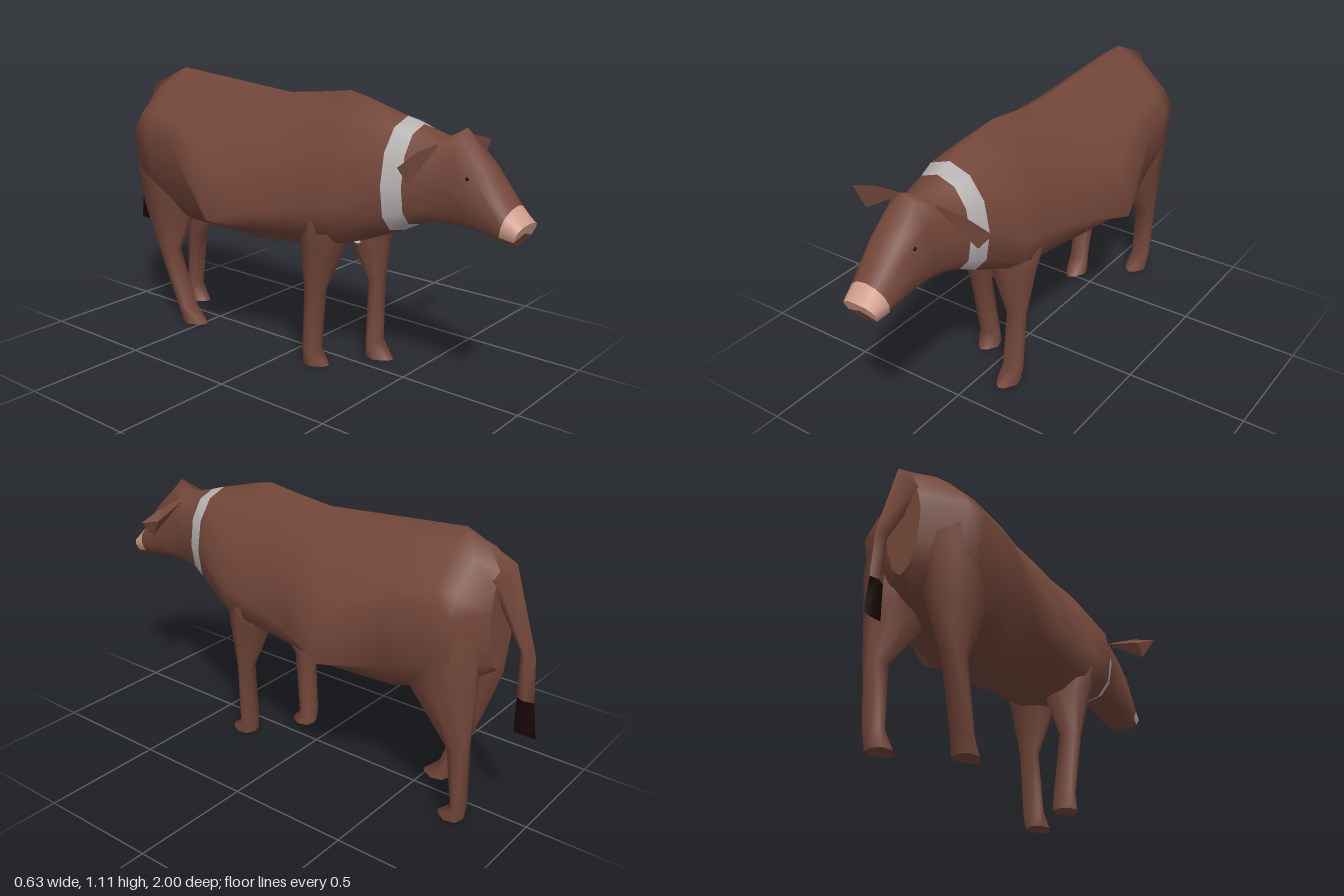
import * as THREE from 'three';

const mat = (name, color) => {
  const m = new THREE.MeshStandardMaterial({ color });
  m.name = name;
  return m;
};

// Closed skin over rings of [x, y, z] points; pick(segment, side) gives a material index.
// Segment -1 is the first cap and rings.length the last.
function loft(rings, pick = () => 0) {
  const pos = [], n = rings[0].length, faces = [];
  const add = (p) => pos.push(...p) / 3 - 1;
  rings.forEach((r) => r.forEach(add));
  for (let i = 0; i < rings.length - 1; i++) {
    for (let j = 0; j < n; j++) {
      const k = (j + 1) % n, a = i * n + j, b = i * n + k;
      const m = pick(i, j);
      faces.push([m, a, b, b + n], [m, a, b + n, a + n]);
    }
  }
  const cap = (ring, seg, flip) => {
    const c = add([0, 1, 2].map((d) => ring.reduce((s, p) => s + p[d], 0) / n));
    const ids = ring.map(add);
    ids.forEach((id, j) => {
      const next = ids[(j + 1) % n];
      faces.push(flip ? [pick(seg, j), c, next, id] : [pick(seg, j), c, id, next]);
    });
  };
  cap(rings[0], -1, true);
  cap(rings[rings.length - 1], rings.length, false);

  // Turn all faces outward by the sign of the enclosed volume
  const v = (i) => new THREE.Vector3().fromArray(pos, i * 3);
  const volume = faces.reduce((s, [, a, b, c]) => s + v(a).dot(v(b).cross(v(c))), 0);
  const index = [], geo = new THREE.BufferGeometry();
  faces.sort((f, g) => f[0] - g[0]);
  for (const [m, a, b, c] of faces) {
    geo.addGroup(index.length, 3, m);
    index.push(...(volume > 0 ? [a, b, c] : [a, c, b]));
  }
  geo.setAttribute('position', new THREE.Float32BufferAttribute(pos, 3));
  geo.setIndex(index);
  geo.computeVertexNormals();
  return geo;
}

// Body ring: a superellipse with its own exponent above and below the widest height.
// Head rings lean forward at the top.
function bodyRing([z, top, bottom, width, widest, upper, lower]) {
  return Array.from({ length: 12 }, (_, i) => {
    const a = i * Math.PI / 6, c = Math.cos(a), s = Math.sin(a);
    const p = 2 / (c > 0 ? upper : lower);
    const y = widest + Math.abs(c) ** p * (c > 0 ? top - widest : bottom - widest);
    const lean = z > 0.6 ? 0.035 * (top - y) / (top - bottom) : 0;
    return [width * Math.sign(s) * Math.abs(s) ** p, y, z - lean];
  });
}

// Eight-sided leg ring between front and back z and inner and outer x; the sole narrows to a toe
function legRing(side, y, zf, zb, xi, xo) {
  const cx = (xi + xo) / 2, cz = (zf + zb) / 2, rx = (xo - xi) / 2, rz = (zf - zb) / 2;
  return Array.from({ length: 8 }, (_, i) => {
    const a = i * Math.PI / 4, s = i % 2 ? 1.1 : 1;
    const toe = y === 0 ? 1 - 0.6 * Math.max(0, Math.sin(a)) : 1;
    return [side * (cx + rx * s * toe * Math.cos(a)), y, cz + rz * s * Math.sin(a)];
  });
}

// Thin diamond tail ring from back y and z, half width, front y and z
function tailRing([yb, zb, w, yf, zf]) {
  const y = (yb + yf) / 2, z = (zb + zf) / 2;
  return [[0, yb, zb], [w, y, z], [0, yf, zf], [-w, y, z]];
}

export function createModel() {
  const model = new THREE.Group();
  const brown = mat('brownHide', 0x74473a);
  const white = mat('whiteBand', 0xbab5b5);
  const pink = mat('pinkNose', 0xd3a090);
  const dark = mat('darkHair', 0x1a0808);
  const put = (name, geo, material) => {
    const mesh = new THREE.Mesh(geo, material);
    mesh.name = name;
    model.add(mesh);
    return mesh;
  };

  // Head, neck and trunk in one skin: z, top, bottom, half width, widest height, exponents
  const stations = [
    [1, 0.72, 0.64, 0.072, 0.69, 2.2, 2.5],
    [0.95, 0.775, 0.645, 0.083, 0.71, 2, 2.5],
    [0.84, 0.905, 0.67, 0.095, 0.77, 2.6, 2.8],
    [0.74, 1.02, 0.668, 0.098, 0.82, 1.9, 3],
    [0.67, 0.98, 0.662, 0.11, 0.82, 2.3, 3],
    [0.56, 1.01, 0.637, 0.138, 0.8, 2.2, 2.6],
    [0.49, 1.033, 0.6, 0.168, 0.8, 2.1, 2.6],
    [0.31, 1.083, 0.525, 0.222, 0.7, 1.6, 2.5],
    [0.23, 1.1, 0.5, 0.225, 0.68, 1.5, 2.4],
    [0.08, 1.08, 0.478, 0.227, 0.65, 1.6, 2.2],
    [-0.07, 1.063, 0.453, 0.265, 0.62, 1.7, 1.6],
    [-0.25, 1.077, 0.42, 0.317, 0.57, 1.5, 1],
    [-0.5, 1.097, 0.468, 0.26, 0.82, 1.25, 3],
    [-0.67, 1.11, 0.52, 0.245, 0.86, 1.2, 2.8],
    [-0.75, 1.075, 0.55, 0.235, 0.86, 1.25, 2.4],
    [-0.825, 1.02, 0.6, 0.075, 0.85, 1.5, 2],
  ];
  const bodyColour = (seg, side) => {
    if (seg === 5) return 1;
    return seg <= 0 && (side < 4 || side > 7) ? 2 : 0;
  };
  put('body', loft(stations.map(bodyRing), bodyColour), [brown, white, pink]);

  // Pale spot under the chest
  const spot = put('chestSpot', new THREE.SphereGeometry(0.016, 10, 6), white);
  spot.scale.y = 0.3;
  spot.rotation.x = 0.3;
  spot.position.set(0, 0.51, 0.265);

  // Walking legs with pointed hooves: shared y, inner x and outer x, then front and back z per leg
  const frontShape = [[0.72, 0.06, 0.19], [0.62, 0.02, 0.215], [0.52, 0.005, 0.2], [0.32, 0.085, 0.172], [0.06, 0.065, 0.16], [0, 0.058, 0.156]];
  const hindShape = [[0.86, 0.04, 0.222], [0.7, 0.03, 0.225], [0.53, 0.04, 0.205], [0.32, 0.09, 0.172], [0.065, 0.07, 0.158], [0, 0.058, 0.156]];
  const putLeg = (name, side, shape, reach) => {
    const rings = shape.map(([y, xi, xo], i) => legRing(side, y, ...reach[i], xi, xo));
    put(name, loft(rings), brown);
  };
  putLeg('frontLegLeft', 1, frontShape,
    [[0.32, 0.13], [0.325, 0.15], [0.325, 0.19], [0.3, 0.25], [0.305, 0.255], [0.375, 0.255]]);
  putLeg('frontLegRight', -1, frontShape,
    [[0.3, 0.12], [0.3, 0.11], [0.265, 0.11], [0.2, 0.125], [0.16, 0.105], [0.21, 0.1]]);
  putLeg('hindLegLeft', 1, hindShape,
    [[-0.56, -0.775], [-0.54, -0.81], [-0.555, -0.815], [-0.725, -0.805], [-0.75, -0.795], [-0.68, -0.79]]);
  putLeg('hindLegRight', -1, hindShape,
    [[-0.56, -0.775], [-0.53, -0.805], [-0.535, -0.79], [-0.625, -0.715], [-0.555, -0.615], [-0.48, -0.6]]);

  // Tail hanging from the rump, with a dark tuft
  const tail = [
    [1.11, -0.67, 0.05, 0.95, -0.74],
    [1.02, -0.87, 0.06, 0.85, -0.82],
    [0.7, -0.97, 0.022, 0.7, -0.91],
    [0.52, -0.982, 0.011, 0.52, -0.912],
  ];
  put('tail', loft(tail.map(tailRing)), brown);
  put('tailTuft', loft([tail[3], [0.38, -1, 0.004, 0.38, -0.912]].map(tailRing)), dark);

  // Ears and eyes on both sides
  for (const s of [1, -1]) {
    const label = s > 0 ? 'Left' : 'Right';
    const ear = [
      [[0.08, 0.965, 0.668], [0.08, 0.952, 0.668], [0.08, 0.958, 0.66]],
      [[0.2, 0.953, 0.664], [0.25, 0.85, 0.664], [0.24, 0.915, 0.638]],
      [[0.31, 0.922, 0.662], [0.308, 0.918, 0.662], [0.308, 0.92, 0.658]],
    ].map((ring) => ring.map(([x, y, z]) => [s * x, y, z]));
    const earGeo = loft(ear).toNonIndexed();
    earGeo.computeVertexNormals();
    put('ear' + label, earGeo, brown);

    const eye = put('eye' + label, new THREE.SphereGeometry(0.007, 10, 8), dark);
    eye.scale.x = 0.5;
    eye.position.set(s * 0.092, 0.862, 0.8);
  }
  return model;
}
